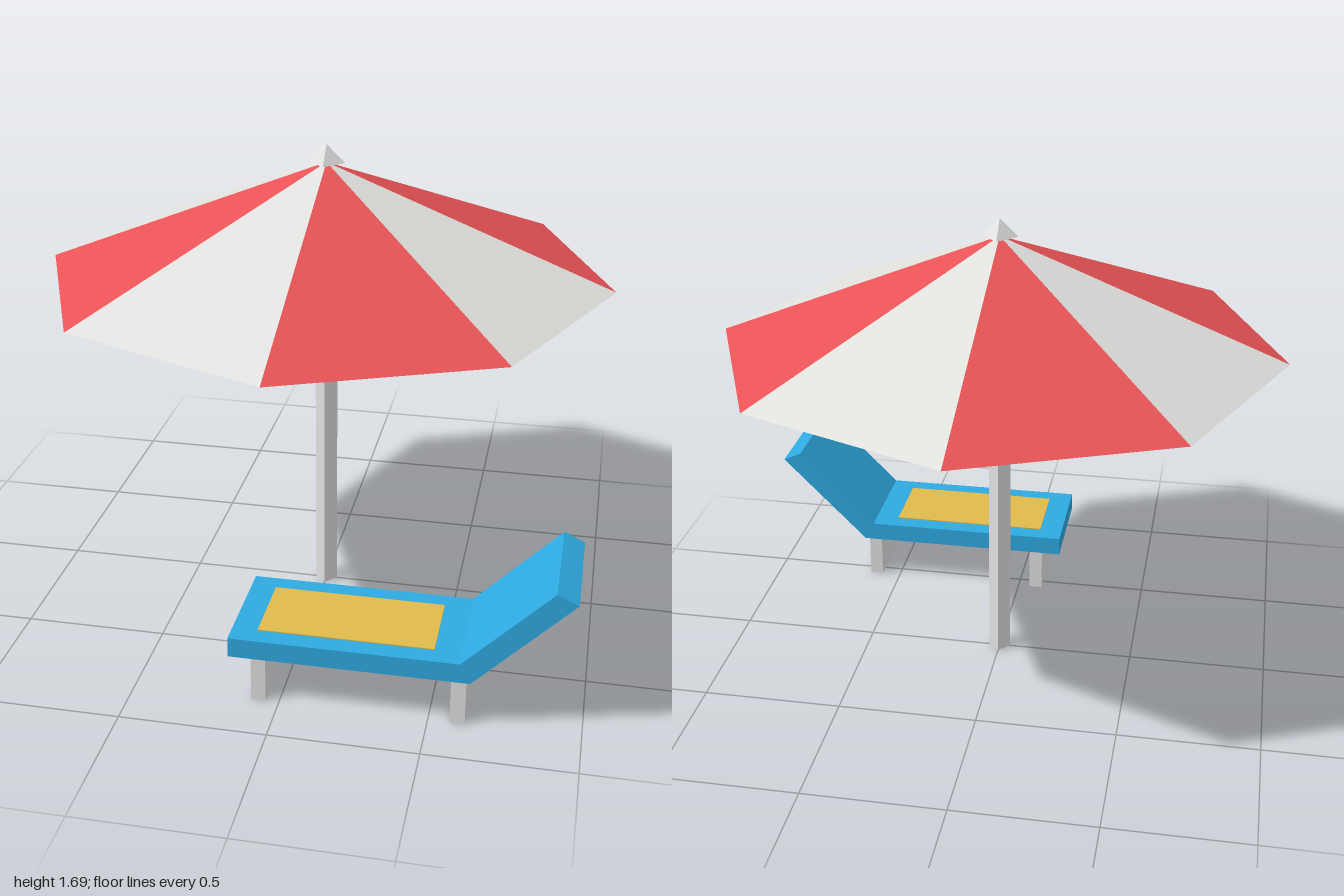
import * as THREE from 'three';

const material = (name, color, side = THREE.FrontSide) => {
  const m = new THREE.MeshStandardMaterial({ color, side, flatShading: true });
  m.name = name;
  return m;
};

export function createModel() {
  const red = material('canopy red', 0xe85356, THREE.DoubleSide);
  const white = material('canopy white', 0xe0e0dd, THREE.DoubleSide);
  const grey = material('frame pale grey', 0xe0e0e0);
  const blue = material('lounger blue', 0x2ea9e0);
  const yellow = material('cushion yellow', 0xe0ba4b);

  const add = (parent, name, geometry, mat, x = 0, y = 0, z = 0) => {
    const mesh = new THREE.Mesh(geometry, mat);
    mesh.name = name;
    mesh.position.set(x, y, z);
    parent.add(mesh);
    return mesh;
  };

  const model = new THREE.Group();
  model.name = 'parasolAndLounger';

  // Parasol: square pole turned on its corner, with a pyramid cap
  const parasol = new THREE.Group();
  parasol.name = 'parasol';
  model.add(parasol);
  add(parasol, 'pole', new THREE.CylinderGeometry(0.04, 0.04, 1.5, 4), grey, 0, 0.75, 0);
  add(parasol, 'cap', new THREE.ConeGeometry(0.065, 0.063, 4), grey, 0, 1.661, 0);

  // Eight alternating panels: a steep top shell and a shallower underside
  const rimY = 1.23, topRise = 0.4, underRise = 0.165, step = Math.PI / 4;
  for (let i = 0; i < 8; i++) {
    const mat = i % 2 ? white : red;
    for (const [name, rise] of [['canopyPanel', topRise], ['canopyLining', underRise]]) {
      const panel = new THREE.ConeGeometry(1, rise, 1, 1, true, i * step, step);
      add(parasol, name, panel, mat, 0, rimY + rise / 2, 0);
    }
  }

  // Lounger: bent side profile extruded across its width
  const lounger = new THREE.Group();
  lounger.name = 'lounger';
  lounger.position.z = 0.635;
  model.add(lounger);
  const profile = new THREE.Shape([
    [-0.167, 0.17], [0.635, 0.17], [0.962, 0.502], [0.892, 0.535], [0.6, 0.24], [-0.167, 0.24],
  ].map(([x, y]) => new THREE.Vector2(x, y)));
  const width = 0.4;
  add(lounger, 'loungerFrame',
    new THREE.ExtrudeGeometry(profile, { depth: width, bevelEnabled: false }), blue, 0, 0, -width / 2);
  add(lounger, 'cushion', new THREE.BoxGeometry(0.59, 0.006, 0.27), yellow, 0.215, 0.241, 0);

  // Slab legs under the foot and the hinge
  for (const x of [-0.07, 0.597]) {
    add(lounger, 'leg', new THREE.BoxGeometry(0.05, 0.172, 0.365), grey, x, 0.086, 0);
  }

  return model;
}
